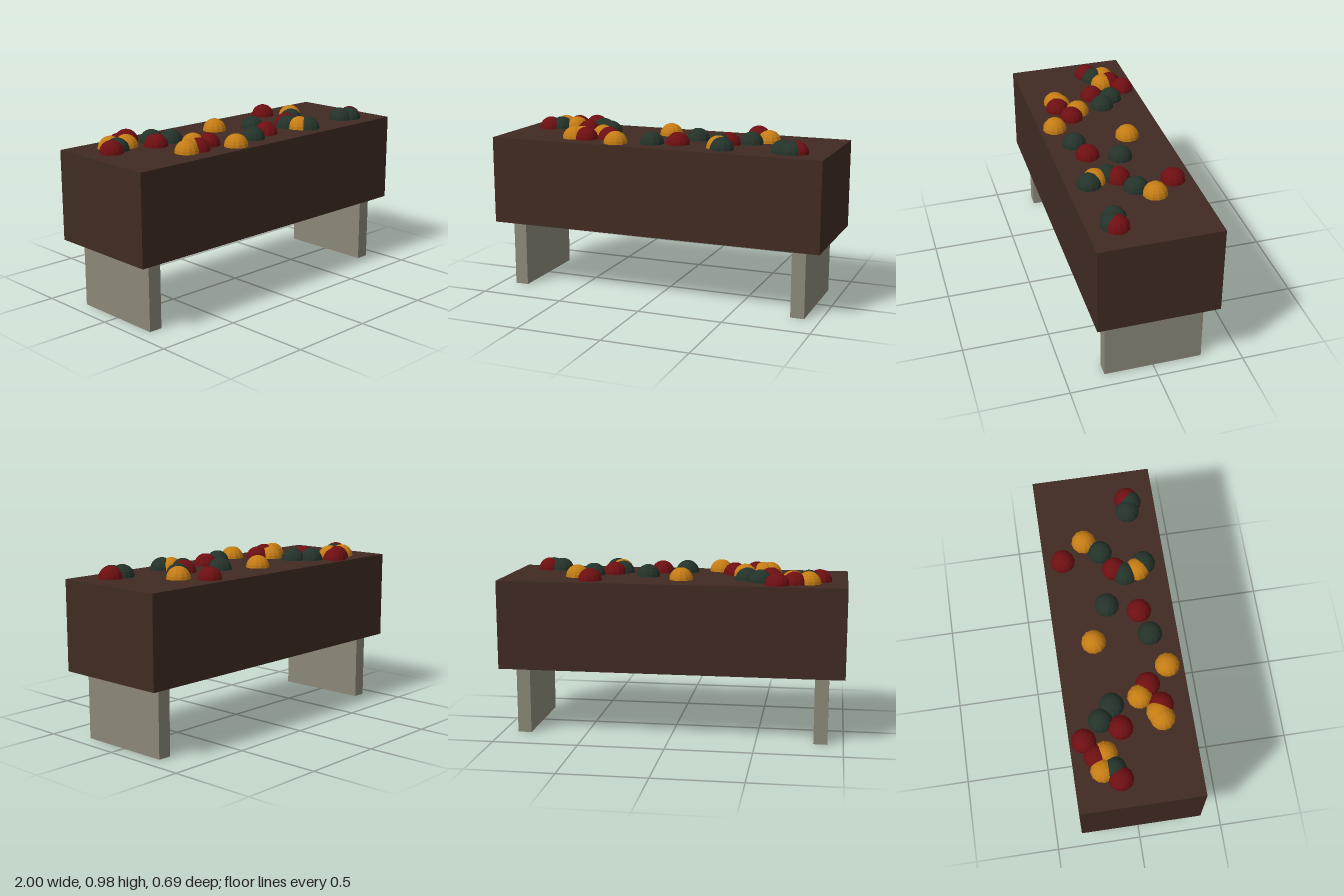
import * as THREE from 'three';

const paint = (name, color) => {
  const m = new THREE.MeshStandardMaterial({ color });
  m.name = name;
  return m;
};

export function createModel() {
  const group = new THREE.Group();
  group.name = 'planterBench';

  const brown = paint('dark brown', 0x402b22);
  const stone = paint('stone grey', 0x8b8878);
  const red = paint('dark red', 0x6e0f12);
  const green = paint('dark green', 0x24332a);
  const orange = paint('amber', 0xc47c14);
  for (const m of [red, green, orange]) m.flatShading = true;

  const add = (name, geometry, material, x, y, z) => {
    const mesh = new THREE.Mesh(geometry, material);
    mesh.name = name;
    mesh.position.set(x, y, z);
    group.add(mesh);
  };

  // Long box body
  const bottom = 0.395, top = 0.912;
  add('body', new THREE.BoxGeometry(2, top - bottom, 0.69), brown, 0, (top + bottom) / 2, 0);

  // Slab legs at both ends
  const leg = new THREE.BoxGeometry(0.08, bottom, 0.564);
  add('leftLeg', leg, stone, 0.87, bottom / 2, 0);
  add('rightLeg', leg, stone, -0.87, bottom / 2, 0);

  // Faceted domes scattered on top: [x, z]
  const dome = new THREE.SphereGeometry(0.07, 12, 6, 0, Math.PI * 2, 0, Math.PI / 2);
  const scatter = (name, material, spots) =>
    spots.forEach(([x, z], i) => add(name + (i + 1), dome, material, x, top, z));

  scatter('redDome', red, [
    [-0.605, -0.265], [-0.7, -0.21], [-0.84, -0.095], [-0.56, -0.055], [0.47, -0.235],
    [0.38, 0.05], [0.105, 0.15], [-0.335, 0.13], [-0.46, 0.185], [0.815, 0.185],
  ]);
  scatter('greenDome', green, [
    [-0.78, -0.125], [-0.505, -0.16], [-0.425, -0.085], [0.165, -0.025], [0.495, -0.015],
    [0.34, 0.105], [0.395, 0.22], [-0.04, 0.19], [0.735, 0.18], [0.795, 0.2],
  ]);
  scatter('amberDome', orange, [
    [-0.78, -0.185], [-0.69, -0.16], [-0.045, -0.13], [0.575, -0.1], [-0.4, 0.075],
    [-0.5, 0.165], [-0.54, 0.18], [0.36, 0.18], [-0.24, 0.255],
  ]);

  return group;
}
